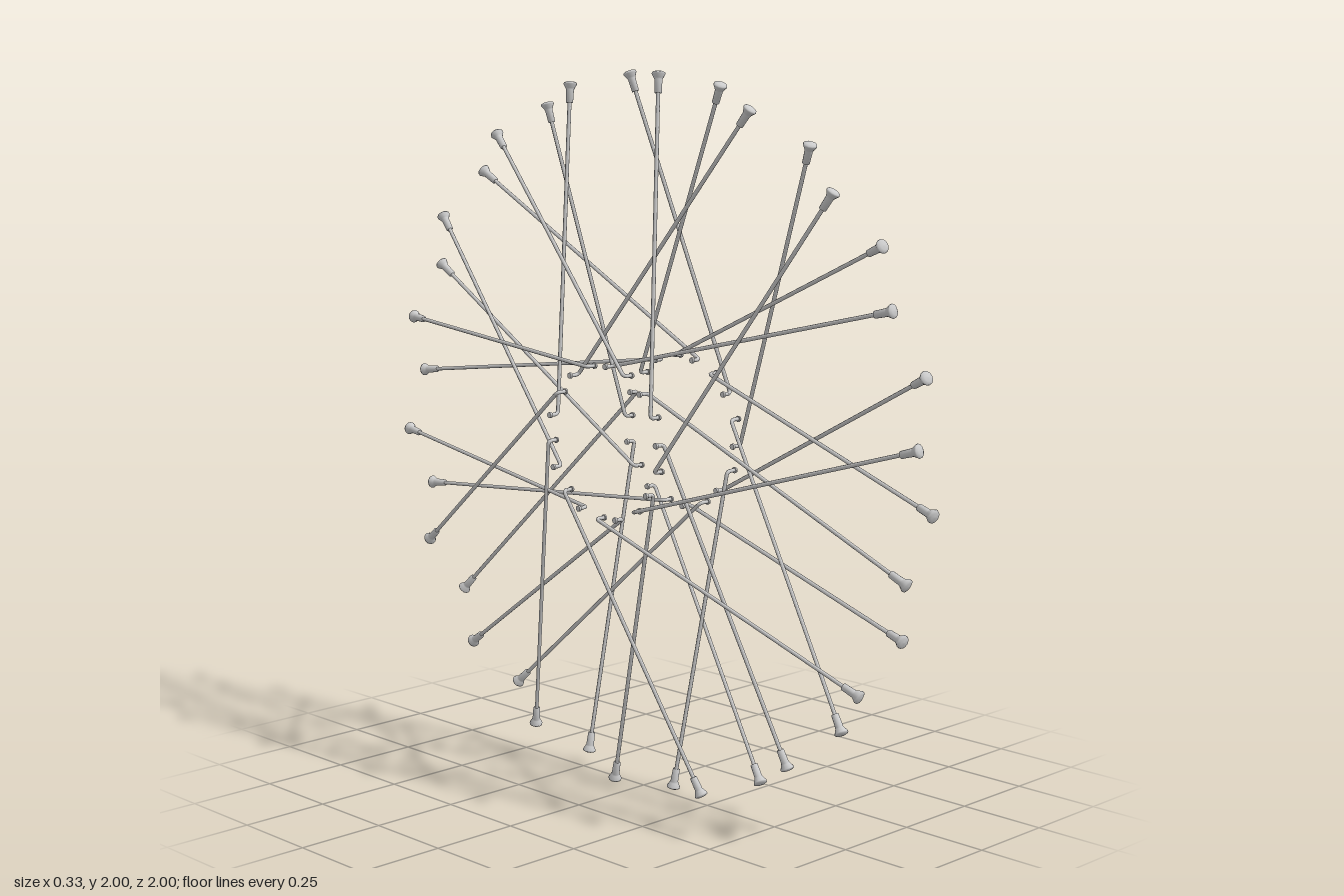
import * as THREE from 'three';

const grey = new THREE.MeshStandardMaterial({ color: 0xcccccc });
const UP = new THREE.Vector3(0, 1, 0);
const RIM = 1.0, HUB = 0.212, SPOKE = 0.0055;
const rad = THREE.MathUtils.degToRad;

// point on the wheel: angle and radius in the wheel plane, x along the axle
const polar = (deg, r, x) =>
  new THREE.Vector3(x, r * Math.sin(rad(deg)), -r * Math.cos(rad(deg)));

// nipple profile: slim shank flaring into a domed head, tip at y = 0
const nippleGeo = new THREE.LatheGeometry([
  [0, -0.058], [0.010, -0.058], [0.011, -0.022], [0.013, -0.018], [0.019, -0.007],
  [0.018, -0.003], [0.011, 0], [0, 0.001],
].map(([x, y]) => new THREE.Vector2(x, y)), 12);

function addMesh(parent, name, geometry) {
  const mesh = new THREE.Mesh(geometry, grey);
  mesh.name = name;
  parent.add(mesh);
  return mesh;
}

// one spoke: straight shaft, bent elbow, button head and rim nipple
function makeSpoke(rimAngle, side, lean) {
  const group = new THREE.Group();
  group.name = 'spoke';
  const outer = lean > 0;
  const tip = polar(rimAngle, RIM, side * 0.03);
  const corner = polar(rimAngle + lean * 60, HUB, side * (outer ? 0.163 : 0.133));
  const dir = tip.clone().sub(corner).normalize();
  const turn = new THREE.Vector3(side * (outer ? -1 : 1), 0, 0);
  const aim = new THREE.Quaternion().setFromUnitVectors(UP, dir);

  // shaft
  const start = corner.clone().addScaledVector(dir, 0.012);
  const length = start.distanceTo(tip) - 0.03;
  const shaft = addMesh(group, 'shaft', new THREE.CylinderGeometry(SPOKE, SPOKE, length, 8));
  shaft.quaternion.copy(aim);
  shaft.position.copy(start).addScaledVector(dir, length / 2);

  // elbow through the hub flange
  const bend = corner.clone().addScaledVector(turn, 0.012);
  const end = corner.clone().addScaledVector(turn, 0.03);
  addMesh(group, 'elbow', new THREE.TubeGeometry(
    new THREE.QuadraticBezierCurve3(start, corner, bend), 6, SPOKE, 8));
  addMesh(group, 'elbowEnd', new THREE.TubeGeometry(
    new THREE.LineCurve3(bend, end), 1, SPOKE, 8));

  // button head
  const head = addMesh(group, 'spokeHead', new THREE.CylinderGeometry(0.008, 0.009, 0.006, 10));
  head.quaternion.setFromUnitVectors(UP, turn);
  head.position.copy(end);

  // rim nipple
  const nipple = addMesh(group, 'nipple', nippleGeo);
  nipple.quaternion.copy(aim);
  nipple.position.copy(tip);
  return group;
}

export function createModel() {
  const wheel = new THREE.Group();
  wheel.name = 'wheelSpokes';
  // three-cross lacing: sides alternate, leaning swaps every second spoke
  for (let i = 0; i < 36; i++) {
    const side = i % 2 === 0 ? 1 : -1;
    const lean = i % 4 < 2 ? 1 : -1;
    wheel.add(makeSpoke(5 + i * 10, side, lean));
  }
  wheel.position.y = 1;
  return wheel;
}
